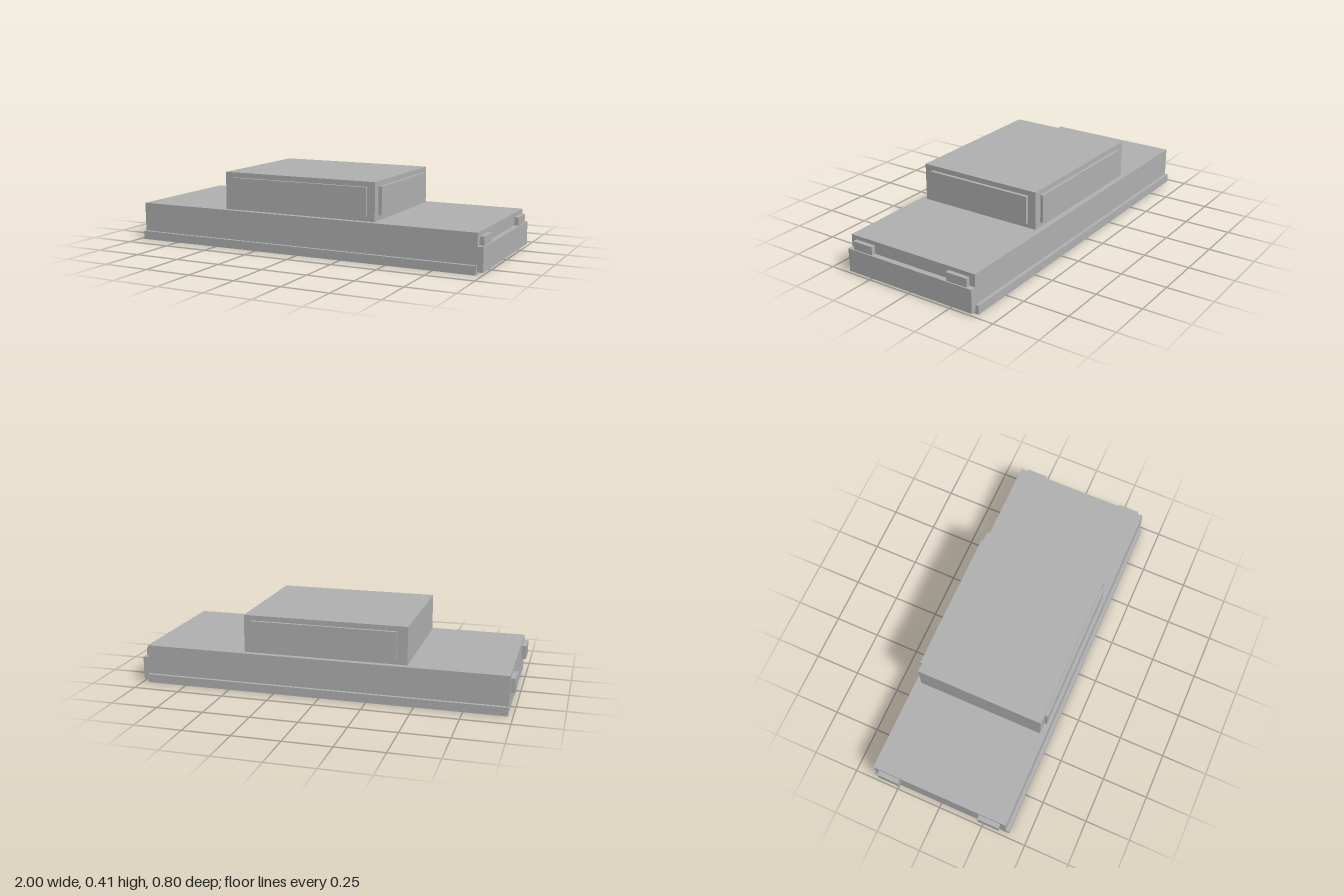
import * as THREE from 'three';

export function createModel() {
  const model = new THREE.Group();
  const grey = new THREE.MeshStandardMaterial({ color: 0xb0b0b0 });
  grey.name = 'plain grey';

  // Box given by its lower and upper limits on each axis
  function block(name, [x0, x1], [y0, y1], [z0, z1]) {
    const mesh = new THREE.Mesh(new THREE.BoxGeometry(x1 - x0, y1 - y0, z1 - z0), grey);
    mesh.position.set((x0 + x1) / 2, (y0 + y1) / 2, (z0 + z1) / 2);
    mesh.name = name;
    model.add(mesh);
  }

  // Body, cabin and the parts on the centre line
  block('body', [-0.975, 0.97], [0.01, 0.204], [-0.38, 0.38]);
  block('cabin', [-0.455, 0.422], [0.204, 0.406], [-0.349, 0.349]);
  block('windshield', [0.422, 0.44], [0.231, 0.379], [-0.304, 0.304]);
  block('bumper', [0.97, 1], [0.012, 0.137], [-0.38, 0.38]);

  // Paired parts, mirrored across the centre line
  for (const [side, s] of [['left', 1], ['right', -1]]) {
    const span = (a, b) => (s > 0 ? [a, b] : [-b, -a]);
    block(side + 'SideWindow', [-0.4, 0.38], [0.231, 0.379], span(0.349, 0.365));
    block(side + 'Skirt', [-0.975, 0.97], [0, 0.046], span(0.364, 0.398));
    block(side + 'Headlight', [0.97, 0.993], [0.107, 0.182], span(0.229, 0.349));
    block(side + 'TailLight', [-1, -0.975], [0.107, 0.182], span(0.229, 0.349));
  }

  return model;
}
